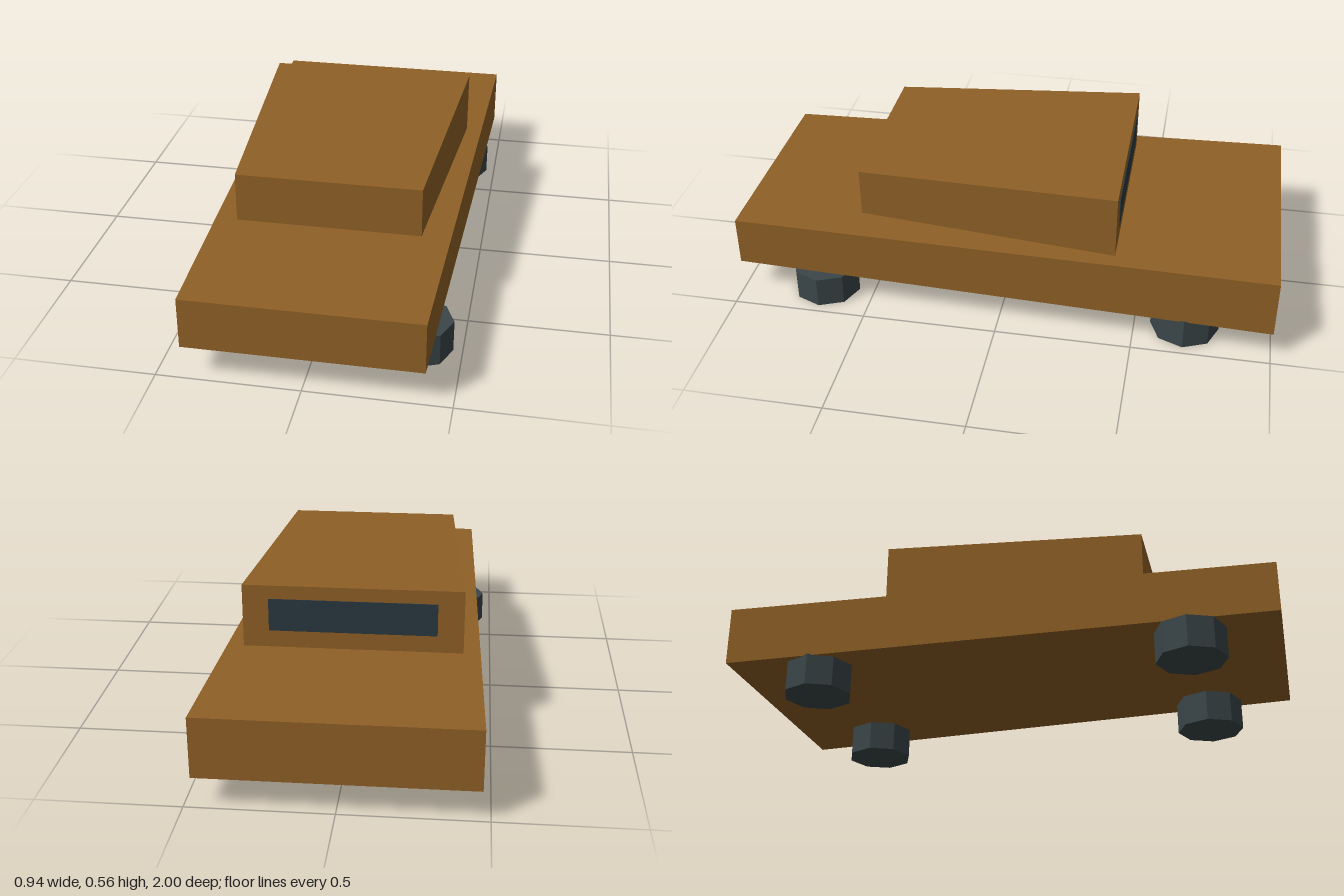
import * as THREE from 'three';

const paint = new THREE.MeshStandardMaterial({ color: 0x8f6026, flatShading: true });
const rubber = new THREE.MeshStandardMaterial({ color: 0x3b4649, flatShading: true });
const glass = new THREE.MeshStandardMaterial({ color: 0x2a3840, flatShading: true });

function addMesh(parent, name, geometry, material, x = 0, y = 0, z = 0) {
  const mesh = new THREE.Mesh(geometry, material);
  mesh.name = name;
  mesh.position.set(x, y, z);
  parent.add(mesh);
  return mesh;
}

// Box whose front and back ends have their own half width, bottom and top
function taperedBox(front, back) {
  const geometry = new THREE.BoxGeometry(1, 1, 1);
  const pos = geometry.attributes.position;
  for (let i = 0; i < pos.count; i++) {
    const end = pos.getZ(i) > 0 ? front : back;
    pos.setXYZ(
      i,
      Math.sign(pos.getX(i)) * end.halfWidth,
      pos.getY(i) > 0 ? end.top : end.bottom,
      end.z
    );
  }
  geometry.computeVertexNormals();
  return geometry;
}

export function createModel() {
  const car = new THREE.Group();
  car.name = 'car';

  // Long slab body, slightly narrower and thinner at the front
  addMesh(car, 'body', taperedBox(
    { z: 1, halfWidth: 0.408, bottom: 0.125, top: 0.31 },
    { z: -1, halfWidth: 0.472, bottom: 0.11, top: 0.328 }
  ), paint);

  // Wedge cabin, resting on the body at its rear edge
  addMesh(car, 'cabin', taperedBox(
    { z: 0.53, halfWidth: 0.328, bottom: 0.35, top: 0.529 },
    { z: -0.42, halfWidth: 0.393, bottom: 0.322, top: 0.556 }
  ), paint);

  // Rear window, just proud of the cabin's back
  addMesh(car, 'rearWindow', new THREE.BoxGeometry(0.6, 0.12, 0.02), glass, 0, 0.446, -0.413);

  // Eight-sided wheels lying flat under the corners
  const wheel = new THREE.CylinderGeometry(0.126, 0.126, 0.117, 8);
  for (const [end, z] of [['front', 0.685], ['rear', -0.685]]) {
    for (const [side, x] of [['Left', 0.341], ['Right', -0.341]]) {
      addMesh(car, `${end}${side}Wheel`, wheel, rubber, x, 0.0585, z);
    }
  }

  return car;
}
